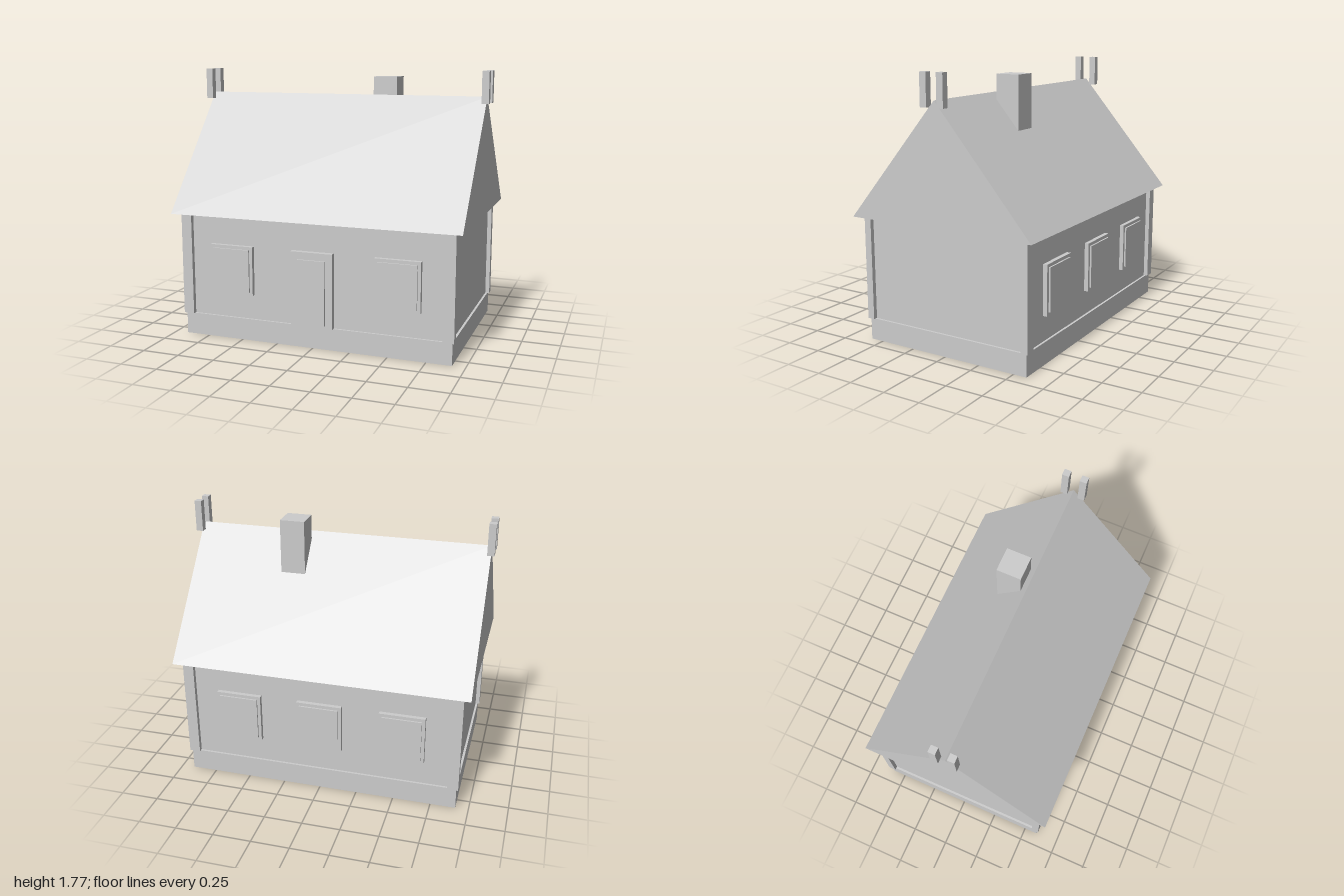
import * as THREE from 'three';

export function createModel() {
  const house = new THREE.Group();
  house.name = 'house';
  const grey = new THREE.MeshStandardMaterial({ color: 0xcccccc });
  grey.name = 'plain grey';

  // Box given by its lower and upper corners
  function box(name, [x0, y0, z0], [x1, y1, z1], parent = house) {
    const mesh = new THREE.Mesh(new THREE.BoxGeometry(x1 - x0, y1 - y0, z1 - z0), grey);
    mesh.position.set((x0 + x1) / 2, (y0 + y1) / 2, (z0 + z1) / 2);
    mesh.name = name;
    parent.add(mesh);
  }

  // Foundation and walls
  box('foundation', [-0.915, 0, -0.59], [0.915, 0.145, 0.59]);
  box('walls', [-0.9, 0.145, -0.575], [0.9, 0.83, 0.575]);

  // Corner posts and pairs of ridge boards at the gables
  for (const sx of [-1, 1]) {
    for (const sz of [-1, 1]) {
      const post = [sx * 0.892, sz * 0.58];
      box('cornerPost', [post[0] - 0.036, 0.145, post[1] - 0.024], [post[0] + 0.036, 0.83, post[1] + 0.024]);
      const board = [sx * 0.977, sz * 0.06];
      box('ridgeBoard', [board[0] - 0.023, 1.56, board[1] - 0.023], [board[0] + 0.023, 1.767, board[1] + 0.023]);
    }
  }

  // Solid gabled roof, extruded along x
  const gable = new THREE.Shape([
    new THREE.Vector2(-0.656, 0.83),
    new THREE.Vector2(0.656, 0.83),
    new THREE.Vector2(0, 1.602),
  ]);
  const roofGeometry = new THREE.ExtrudeGeometry(gable, { depth: 1.952, bevelEnabled: false });
  roofGeometry.translate(0, 0, -0.976).rotateY(Math.PI / 2);
  const roof = new THREE.Mesh(roofGeometry, grey);
  roof.name = 'roof';
  house.add(roof);

  // Chimney behind the ridge
  box('chimney', [0.2, 1.34, -0.2], [0.362, 1.72, -0.038]);

  // Window: frame with a raised pane, facing +z or turned to the back
  function window(x, back) {
    const group = new THREE.Group();
    group.name = back ? 'backWindow' : 'frontWindow';
    box('windowFrame', [-0.15, 0.31, 0.57], [0.15, 0.636, 0.603], group);
    box('windowPane', [-0.129, 0.332, 0.6], [0.129, 0.615, 0.614], group);
    group.position.x = x;
    if (back) group.rotation.y = Math.PI;
    house.add(group);
  }
  for (const x of [-0.565, 0.565]) window(x, false);
  for (const x of [-0.547, 0, 0.547]) window(x, true);

  // Front door
  box('doorFrame', [-0.142, 0.145, 0.57], [0.142, 0.636, 0.612]);
  box('door', [-0.094, 0.166, 0.61], [0.094, 0.588, 0.625]);

  return house;
}
